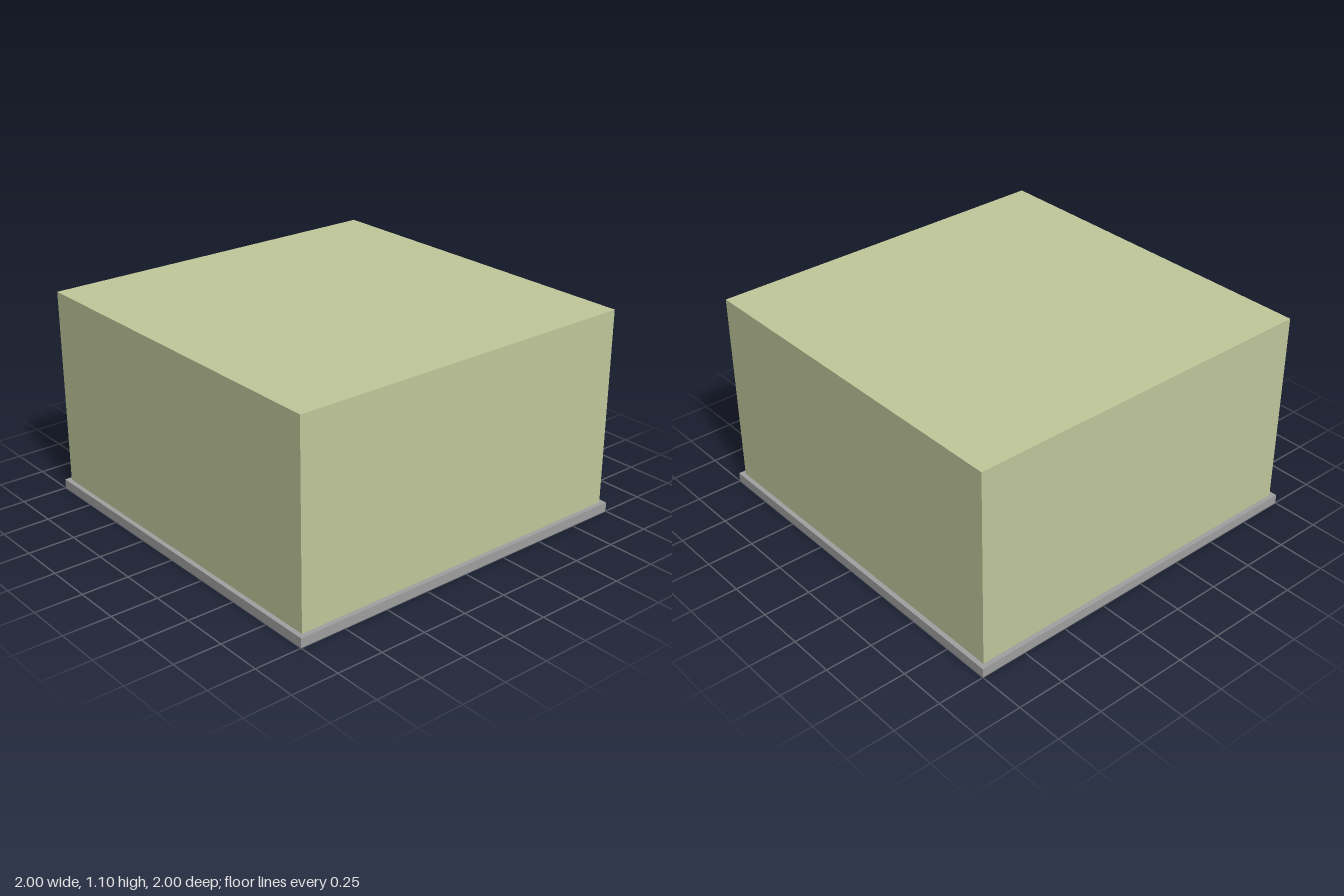
import * as THREE from 'three';

const SIZE = 2, BASE_H = 0.05, TOP_Y = 1.1;
const BODY = 1.95;     // block width
const RIM = 0.025;     // edge rail width
const RIB = 0.05;      // cross rib width
const RECESS = 0.02;   // depth of the pockets underneath

export function createModel() {
  const group = new THREE.Group();
  const green = new THREE.MeshStandardMaterial({ color: 0xc1c89b });
  green.name = 'pale green';
  const grey = new THREE.MeshStandardMaterial({ color: 0xa0a0a0 });
  grey.name = 'grey';

  const add = (name, geometry, material, y) => {
    const mesh = new THREE.Mesh(geometry, material);
    mesh.name = name;
    mesh.position.y = y;
    group.add(mesh);
    return mesh;
  };

  // Large block standing on the base
  const bodyH = TOP_Y - BASE_H;
  add('block', new THREE.BoxGeometry(BODY, bodyH, BODY), green, BASE_H + bodyH / 2);

  // Solid deck of the base
  const deckH = BASE_H - RECESS;
  add('deck', new THREE.BoxGeometry(SIZE, deckH, SIZE), grey, BASE_H - deckH / 2);

  // Underside frame: edge rails and cross ribs around four square pockets
  const h = SIZE / 2;
  const square = (x0, y0, x1, y1, target) => target
    .moveTo(x0, y0).lineTo(x1, y0).lineTo(x1, y1).lineTo(x0, y1).closePath();
  const shape = new THREE.Shape();
  square(-h, -h, h, h, shape);
  const pocket = h - RIM - RIB / 2;
  const centre = RIB / 2 + pocket / 2;
  for (const sx of [-1, 1]) for (const sy of [-1, 1]) {
    const hole = new THREE.Path();
    const x = sx * centre, y = sy * centre, r = pocket / 2;
    square(x - r, y - r, x + r, y + r, hole);
    shape.holes.push(hole);
  }
  const frame = new THREE.ExtrudeGeometry(shape, { depth: RECESS, bevelEnabled: false });
  frame.rotateX(-Math.PI / 2);
  add('undersideFrame', frame, grey, 0);

  return group;
}
